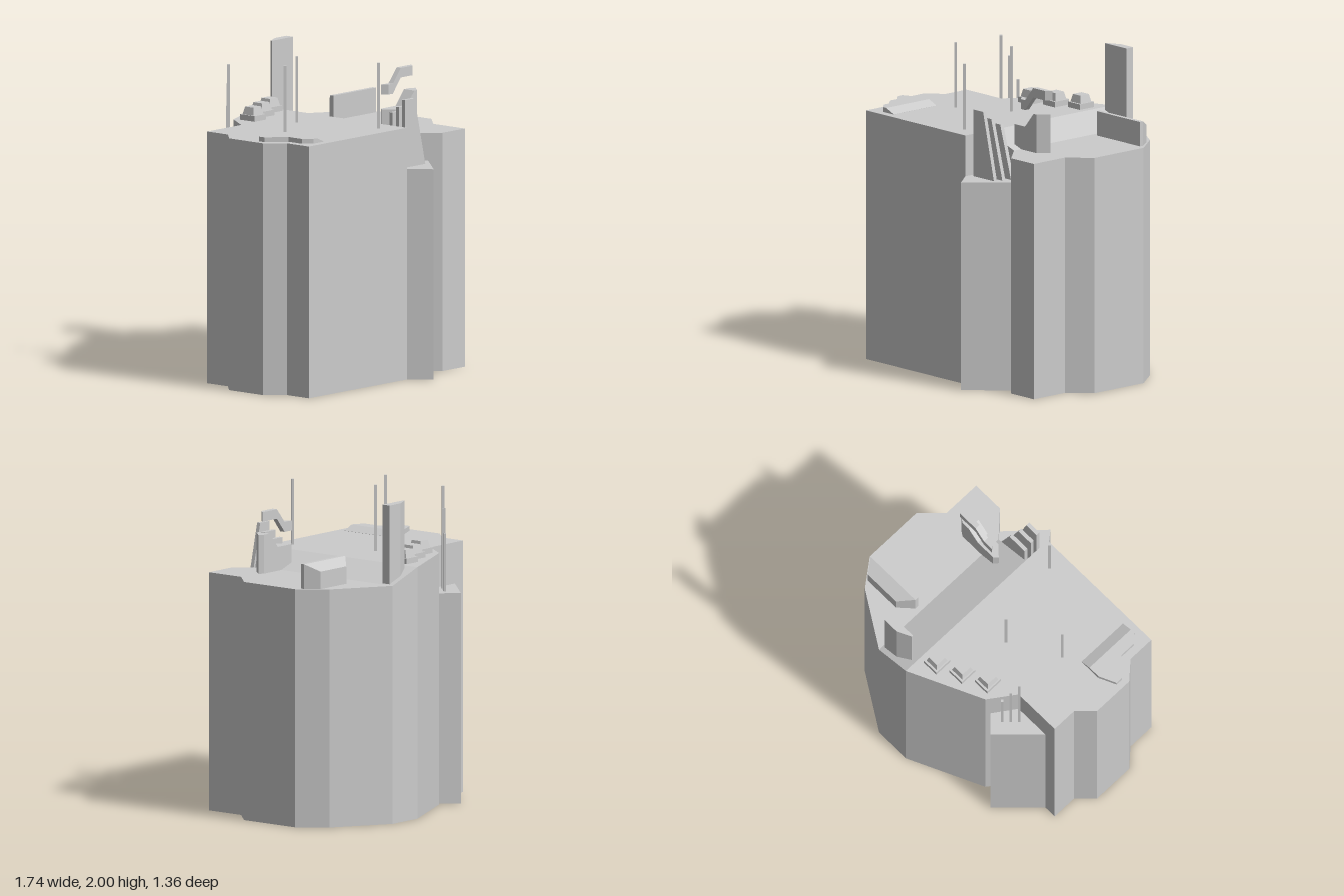
import * as THREE from 'three';

const material = new THREE.MeshStandardMaterial({ color: 0xcccccc, flatShading: true, side: THREE.DoubleSide });

function addMesh(group, name, geometry) {
  const mesh = new THREE.Mesh(geometry, material);
  mesh.name = name;
  group.add(mesh);
  return mesh;
}

// height that ramps linearly from h0 (at a) to h1 (at b)
const ramp = (a, h0, b, h1) => (v) => h0 + (h1 - h0) * THREE.MathUtils.clamp((v - a) / (b - a), 0, 1);

// insert points where the outline crosses the fold lines of the roof
function addFolds(outline, axis, folds) {
  const result = [];
  outline.forEach((p, i) => {
    const q = outline[(i + 1) % outline.length];
    result.push(p);
    folds
      .map((f) => (f - p[axis]) / (q[axis] - p[axis]))
      .filter((t) => t > 1e-6 && t < 1 - 1e-6)
      .sort((a, b) => a - b)
      .forEach((t) => result.push([p[0] + (q[0] - p[0]) * t, p[1] + (q[1] - p[1]) * t]));
  });
  return result;
}

// upright prism over an (x, z) outline whose roof may fold along one axis
function prism(outline, bottom, top, { axis = 0, folds = [], floor = false } = {}) {
  const topAt = (p) => (typeof top === 'function' ? top(p[axis]) : top);
  const bottomAt = (p) => (typeof bottom === 'function' ? bottom(p[axis]) : bottom);
  const to2D = (points) => points.map(([x, z]) => new THREE.Vector2(x, -z));
  let ring = addFolds(outline, axis, folds);
  if (THREE.ShapeUtils.isClockWise(to2D(ring))) ring = ring.reverse();

  const positions = [];
  const put = (p, height) => positions.push(p[0], height(p), p[1]);
  // walls
  ring.forEach((a, i) => {
    const b = ring[(i + 1) % ring.length];
    put(a, bottomAt); put(b, bottomAt); put(b, topAt);
    put(a, bottomAt); put(b, topAt); put(a, topAt);
  });
  // roof, and floor if wanted, one strip between each pair of folds
  const limits = [-Infinity, ...folds, Infinity];
  for (let i = 0; i + 1 < limits.length; i++) {
    const strip = ring.filter((p) => p[axis] >= limits[i] - 1e-6 && p[axis] <= limits[i + 1] + 1e-6);
    if (strip.length < 3) continue;
    for (const face of THREE.ShapeUtils.triangulateShape(to2D(strip), [])) {
      face.forEach((k) => put(strip[k], topAt));
      if (floor) [...face].reverse().forEach((k) => put(strip[k], bottomAt));
    }
  }
  const geometry = new THREE.BufferGeometry();
  geometry.setAttribute('position', new THREE.Float32BufferAttribute(positions, 3));
  geometry.computeVertexNormals();
  return geometry;
}

export function createModel() {
  const model = new THREE.Group();
  model.name = 'rooftopBlock';

  // main block: hollow below, roof stepping down towards +x
  addMesh(model, 'mainBlock', prism([
    [-0.87, -0.02], [-0.77, -0.12], [-0.77, -0.29], [-0.45, -0.29], [-0.33, -0.46],
    [0.15, -0.68], [0.39, -0.68], [0.74, -0.46], [0.87, -0.29], [0.87, 0.12],
    [0.74, 0.25], [0.74, 0.51], [0.53, 0.51], [0.39, 0.36], [0.15, 0.36],
    [0.15, 0.55], [-0.77, 0.55], [-0.77, 0.37], [-0.87, 0.26],
  ], 0, ramp(0.15, 1.585, 0.39, 1.5), { folds: [0.15, 0.39] }));

  // lower buttresses at the front and the back
  addMesh(model, 'frontButtress', prism(
    [[0.15, 0.36], [0.39, 0.36], [0.47, 0.445], [0.255, 0.68], [0.15, 0.55]], 0, 1.325));
  addMesh(model, 'backButtress', prism(
    [[-0.69, -0.29], [-0.45, -0.535], [-0.35, -0.435], [-0.45, -0.29]], 0, 1.325));

  // slanted fins on the front buttress
  [[0.497, 1.75, 0.27, 0.37], [0.447, 1.7, 0.29, 0.393], [0.393, 1.66, 0.313, 0.413]].forEach(([z, top, x0, x1]) => {
    addMesh(model, 'fin', prism(
      [[0.18, z - 0.0125], [x1, z - 0.0125], [x1, z + 0.0125], [0.18, z + 0.0125]],
      1.32, ramp(x0, top, x1, 1.325), { folds: [x0] }));
  });

  // roof vents: square base with a tapered cap
  [[-0.255, -0.365], [-0.1, -0.433], [0.055, -0.502]].forEach(([x, z]) => {
    const vent = new THREE.Group();
    vent.name = 'vent';
    vent.position.set(x, 1.58, z);
    addMesh(vent, 'ventBase', new THREE.BoxGeometry(0.11, 0.04, 0.12)).position.y = 0.02;
    const cap = new THREE.CylinderGeometry(0.035 * Math.SQRT2, 0.046 * Math.SQRT2, 0.048, 4);
    addMesh(vent, 'ventCap', cap.rotateY(Math.PI / 4)).position.y = 0.064;
    model.add(vent);
  });

  // antenna masts: x, z, foot, tip
  [
    [-0.46, 0.08, 1.58, 2], [-0.145, -0.1, 1.58, 2], [0.015, 0.435, 1.58, 2],
    [-0.51, -0.343, 1.32, 1.97], [-0.473, -0.38, 1.32, 1.84], [-0.435, -0.418, 1.32, 1.69],
  ].forEach(([x, z, foot, tip]) => {
    addMesh(model, 'antenna', new THREE.CylinderGeometry(0.012, 0.012, tip - foot, 4))
      .position.set(x, (foot + tip) / 2, z);
  });

  // tall slab at the back
  addMesh(model, 'tallSlab', prism(
    [[0.178, -0.59], [0.178, -0.6], [0.27, -0.645], [0.378, -0.645], [0.378, -0.59]], 1.5, 2));

  // low parapet with a sloping rear
  addMesh(model, 'parapet', prism(
    [[0.425, -0.3], [0.425, -0.327], [0.515, -0.41], [0.765, -0.41], [0.825, -0.327], [0.825, -0.3]],
    1.5, ramp(-0.41, 1.61, -0.327, 1.655), { axis: 1, folds: [-0.327] }));

  // stepped housing with a bent bar floating above it
  addMesh(model, 'steppedHousing', prism(
    [[0.265, 0.24], [0.29, 0.215], [0.56, 0.215], [0.59, 0.235], [0.53, 0.3], [0.33, 0.3]],
    1.5, ramp(0.425, 1.65, 0.505, 1.745), { folds: [0.425, 0.505] }));
  addMesh(model, 'bentBar', prism(
    [[0.295, 0.21], [0.58, 0.21], [0.55, 0.245], [0.325, 0.245]],
    ramp(0.365, 1.737, 0.44, 1.83), ramp(0.365, 1.8, 0.44, 1.89), { folds: [0.365, 0.44], floor: true }));

  // flat roof pad that fades into the roof
  addMesh(model, 'roofPad', prism([
    [-0.83, 0.19], [-0.72, 0.14], [-0.57, 0.14], [-0.57, 0.5],
    [-0.67, 0.5], [-0.72, 0.45], [-0.72, 0.34], [-0.83, 0.235],
  ], 1.58, ramp(-0.64, 1.615, -0.57, 1.586), { folds: [-0.64] }));

  return model;
}
